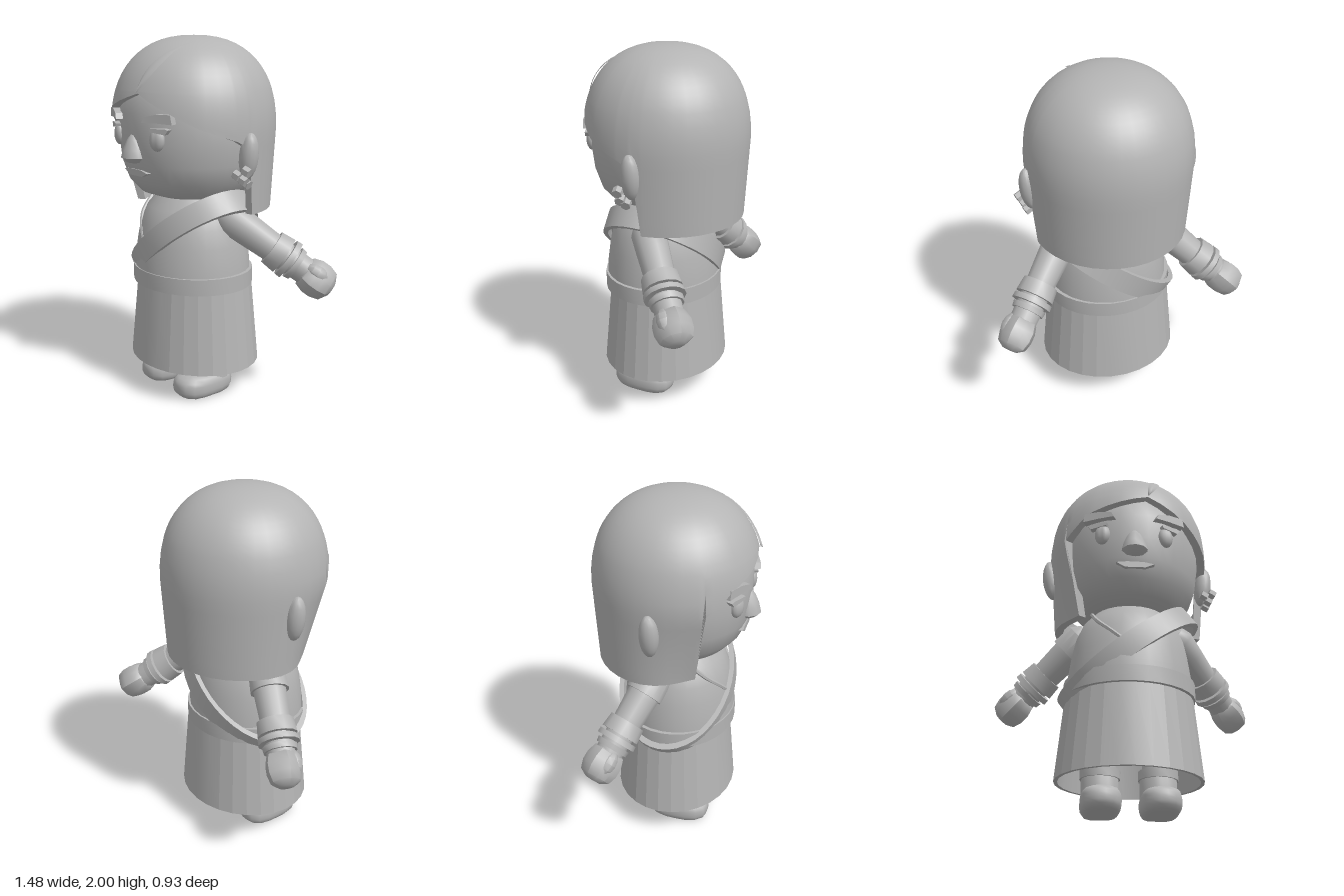
import * as THREE from 'three';
import { toCreasedNormals } from 'three/addons/utils/BufferGeometryUtils.js';
import { ParametricGeometry } from 'three/addons/geometries/ParametricGeometry.js';

const clay = new THREE.MeshStandardMaterial({ color: 0xb4b4b4 });
clay.name = 'grey clay';

function add(parent, name, geometry, crease = 0.7) {
  const mesh = new THREE.Mesh(toCreasedNormals(geometry, crease), clay);
  mesh.name = name;
  parent.add(mesh);
  return mesh;
}

// Turned form from [radius, height] pairs
function lathe(points, sides = 20) {
  return new THREE.LatheGeometry(points.map(([r, y]) => new THREE.Vector2(r, y)), sides);
}

function ball(w, h, d, a = 14, b = 10) {
  return new THREE.SphereGeometry(1, a, b).scale(w, h, d);
}

// Ball swollen towards a box, like a pebble
function pebble(w, h, d, a = 14, b = 10) {
  const geometry = new THREE.SphereGeometry(1, a, b), p = geometry.attributes.position;
  const v = new THREE.Vector3();
  for (let i = 0; i < p.count; i++) {
    v.fromBufferAttribute(p, i);
    v.divideScalar(Math.cbrt(Math.abs(v.x) ** 3 + Math.abs(v.y) ** 3 + Math.abs(v.z) ** 3));
    p.setXYZ(i, v.x * w, v.y * h, v.z * d);
  }
  return geometry;
}

// Flat outline given thickness
function plate(points, depth) {
  const shape = new THREE.Shape(points.map(([x, y]) => new THREE.Vector2(x, y)));
  return new THREE.ExtrudeGeometry(shape, { depth, bevelEnabled: false });
}

// Hair narrows below the ears, and the right front lock sweeps inwards
function hairRadius(degrees, y) {
  if (y < 1.5) {
    const lock = 0.09 * Math.exp(-(((degrees + 56) / 30) ** 2));
    return 0.455 - (1.5 - y) * 0.055 - lock * (1.5 - y) / 0.43;
  }
  return 0.455 * Math.pow(Math.max(0, 1 - Math.pow((y - 1.5) / 0.5, 2.35)), 1 / 2.35);
}

function hairPoint(degrees, y, offset = 0) {
  const a = THREE.MathUtils.degToRad(degrees), r = Math.max(0, hairRadius(degrees, y) + offset);
  return new THREE.Vector3(r * Math.sin(a), y, r * Math.cos(a) - 0.007);
}

// Lower edge of the hair, as [angle, height]: long lock on the right, swept parting at the front
const hairEdge = [[-180, 1.07], [-57, 1.07], [-55, 1.5], [-34, 1.61], [10, 1.71], [40, 1.6], [56, 1.54],
  [82, 1.47], [92, 1.43], [96, 1.2], [98, 1.07], [180, 1.07]];

function edgeHeight(a) {
  const i = Math.max(1, hairEdge.findIndex(([b]) => b >= a));
  const [a0, y0] = hairEdge[i - 1], [a1, y1] = hairEdge[i];
  return y0 + (y1 - y0) * (a - a0) / (a1 - a0);
}

function hair() {
  const angles = new Set(hairEdge.map(([a]) => a));
  for (let a = -180; a <= 180; a += 10) angles.add(a);
  const list = [...angles].sort((a, b) => b - a);
  const crown = 1.72, crownRows = 11, rows = 20;
  return new ParametricGeometry((u, v, p) => {
    const a = list[Math.round(u * (list.length - 1))], b = edgeHeight(a);
    const k = Math.round(v * (rows + 3));
    if (k <= crownRows) p.copy(hairPoint(a, crown + (2 - crown) * Math.cos(k / crownRows * Math.PI / 2)));
    else if (k <= rows) p.copy(hairPoint(a, crown + (b - crown) * (k - crownRows) / (rows - crownRows)));
    else p.copy(hairPoint(a, b + (k - rows - 1) * 0.08, -0.045)); // inner wall
  }, list.length - 1, rows + 3);
}

function buildHead(model) {
  const head = new THREE.Group();
  head.name = 'head';
  model.add(head);
  add(head, 'face', lathe([[0, 1.12], [0.2, 1.13], [0.29, 1.16], [0.355, 1.23], [0.39, 1.33], [0.405, 1.45],
    [0.405, 1.6], [0.36, 1.75], [0.2, 1.86], [0, 1.88]], 32), 1);
  add(head, 'hair', hair(), 0.8);

  // Leaf-shaped crease rising from the parting
  add(head, 'partingCrease', new ParametricGeometry((u, v, p) => {
    const y = 1.71 + v * 0.26, x = 0.075 + 0.085 * v + (u - 0.5) * 0.055 * Math.sin(Math.PI * v);
    const r = hairRadius(10, y);
    p.set(x, y, Math.sqrt(Math.max(0, r * r - x * x)) + 0.012 * Math.sin(Math.PI * u) * (1 - v) + 0.002);
  }, 4, 10));

  add(head, 'nose', lathe([[0, 1.335], [0.045, 1.345], [0.074, 1.37], [0.064, 1.41], [0.04, 1.465], [0.02, 1.49], [0, 1.495]], 10))
    .position.z = 0.387;
  const mouth = add(head, 'mouth', plate([[-0.1, 1.297], [-0.04, 1.305], [0.05, 1.305], [0.11, 1.293], [0.06, 1.272], [-0.05, 1.27]], 0.04));
  mouth.position.z = 0.347;

  for (const s of [-1, 1]) {
    const side = s > 0 ? 'left' : 'right';
    const eye = add(head, side + 'Eye', ball(0.044, 0.06, 0.03));
    eye.position.set(s * 0.175, 1.477, 0.366);
    eye.rotation.y = s * 0.4;
    const lid = add(head, side + 'Eyelid', plate([[-0.045, 0.012], [0.045, 0.016], [0.068, 0.01], [0.05, -0.015], [-0.04, -0.004]]
      .map(([x, y]) => [s * x, y]), 0.04));
    lid.position.set(s * 0.18, 1.523, 0.35);
    lid.rotation.y = s * 0.42;
    const brow = add(head, side + 'Eyebrow', plate([[-0.085, -0.018], [-0.07, 0.012], [0, 0.028], [0.085, 0.03], [0.095, -0.02], [0, -0.016]]
      .map(([x, y]) => [s * x, y]), 0.045));
    brow.position.set(s * 0.178, 1.582, 0.35);
    brow.rotation.y = s * 0.42;
    const ear = add(head, side + 'Ear', ball(0.05, 0.125, 0.052));
    ear.position.set(s * 0.447, 1.39, -0.02);
    ear.rotation.z = -s * 0.12;
  }

  // Cluster of beads under the left ear
  for (const [x, y, z] of [[0.49, 1.32, 0.03], [0.465, 1.27, 0.03], [0.44, 1.295, 0.05], [0.455, 1.25, 0.0]]) {
    const bead = add(head, 'earringBead', new THREE.CylinderGeometry(0.027, 0.027, 0.04, 6), 0.3);
    bead.position.set(x, y, z);
    bead.rotation.set(0.5, 0, 1.1);
  }
}

function buildBody(model) {
  const body = new THREE.Group();
  body.name = 'body';
  body.position.x = 0.008;
  model.add(body);
  add(body, 'torso', lathe([[0.345, 0.66], [0.342, 0.76], [0.325, 0.88], [0.305, 0.98], [0.265, 1.07], [0.2, 1.14], [0.15, 1.2], [0.13, 1.3]], 28)
    .scale(1, 1, 0.92), 1).position.z = 0.01;
  add(body, 'belt', lathe([[0.34, 0.635], [0.363, 0.635], [0.363, 0.725], [0.335, 0.725]], 32).scale(1, 1, 0.89)).position.z = 0.008;

  // Flared skirt with a lining, open below
  add(body, 'skirt', lathe([[0.38, 0.185], [0.4, 0.185], [0.355, 0.64], [0.33, 0.64]], 28)
    .scale(1, 1, 0.865), 0.2).position.z = -0.006;
  add(body, 'skirtLining', lathe([[0, 0.6], [0.335, 0.6], [0.38, 0.185]], 28).scale(1, 1, 0.865)).position.z = -0.006;

  // Sash: a tilted band from the left shoulder to the right hip
  const section = [[0.012, 0.062], [0.012, -0.062], [-0.014, -0.062], [-0.014, 0.062], [0.012, 0.062]];
  add(body, 'sash', new ParametricGeometry((u, v, p) => {
    const [out, across] = section[Math.round(v * 4)], t = u * Math.PI * 2;
    const x = (0.345 + out) * Math.cos(t);
    p.set(x - across * 0.61, 0.868 + 0.78 * x + across * 0.79, (0.313 + out) * Math.sin(t));
  }, 40, 4), 0.4);

  // Overlapping neckline
  for (const s of [-1, 1]) {
    const path = new THREE.CatmullRomCurve3([[0.22, 1.1, 0.13], [0.19, 1.02, 0.215], [0.12, 0.94, 0.272], [0.05, 0.87, 0.303]]
      .map(([x, y, z]) => new THREE.Vector3(s * x, y, z)));
    add(body, 'necklineTrim', new THREE.TubeGeometry(path, 10, 0.012, 6));
  }
}

function buildArm(model, side, shoulder, hand) {
  const arm = new THREE.Group();
  arm.name = side + 'Arm';
  const from = new THREE.Vector3(...shoulder), to = new THREE.Vector3(...hand).sub(from);
  const length = to.length();
  arm.position.copy(from);
  arm.quaternion.setFromUnitVectors(new THREE.Vector3(0, 1, 0), to.normalize());
  model.add(arm);
  add(arm, 'upperArm', lathe([[0, -0.08], [0.07, -0.06], [0.095, 0], [0.09, 0.12], [0.083, 0.25], [0.075, length - 0.04]], 14), 0.9);
  if (side === 'right') add(arm, 'sleeve', lathe([[0.06, -0.07], [0.1, -0.02], [0.106, 0.1], [0.09, 0.1]], 14));
  add(arm, 'wideCuff', lathe([[0.08, 0.27], [0.1, 0.27], [0.108, 0.35], [0.08, 0.35]], 14));
  add(arm, 'narrowCuff', lathe([[0.07, 0.365], [0.11, 0.365], [0.112, 0.395], [0.07, 0.395]], 14));
  add(arm, 'wristBand', lathe([[0.07, 0.41], [0.095, 0.41], [0.09, 0.44], [0.07, 0.44]], 14));
  add(arm, 'hand', pebble(0.095, 0.1, 0.088, 10, 7), 0.8).position.y = length;
  add(arm, 'thumb', ball(0.045, 0.07, 0.045, 8, 6), 0.8).position.set(0, length - 0.02, 0.058);
}

function buildLeg(model, side, x) {
  const leg = new THREE.Group();
  leg.name = side + 'Leg';
  leg.position.x = x;
  model.add(leg);
  add(leg, 'shin', lathe([[0.1, 0.05], [0.1, 0.2], [0.085, 0.24], [0.085, 0.6]], 16)).position.z = -0.012;
  add(leg, 'anklet', lathe([[0.08, 0.2], [0.108, 0.2], [0.108, 0.25], [0.08, 0.25]], 16)).position.z = -0.012;

  // Rounded shoe with a flat sole
  const shoe = pebble(0.107, 0.075, 0.177, 18, 14), p = shoe.attributes.position;
  for (let i = 0; i < p.count; i++) p.setY(i, Math.max(0, p.getY(i) + 0.06));
  add(leg, 'shoe', shoe, 0.8).position.z = 0.055;
}

export function createModel() {
  const model = new THREE.Group();
  model.name = 'figure';
  buildHead(model);
  buildBody(model);
  buildArm(model, 'left', [0.29, 1.03, -0.04], [0.635, 0.71, -0.355]);
  buildArm(model, 'right', [-0.27, 1.02, -0.06], [-0.632, 0.672, -0.235]);
  buildLeg(model, 'left', 0.163);
  buildLeg(model, 'right', -0.147);
  return model;
}
